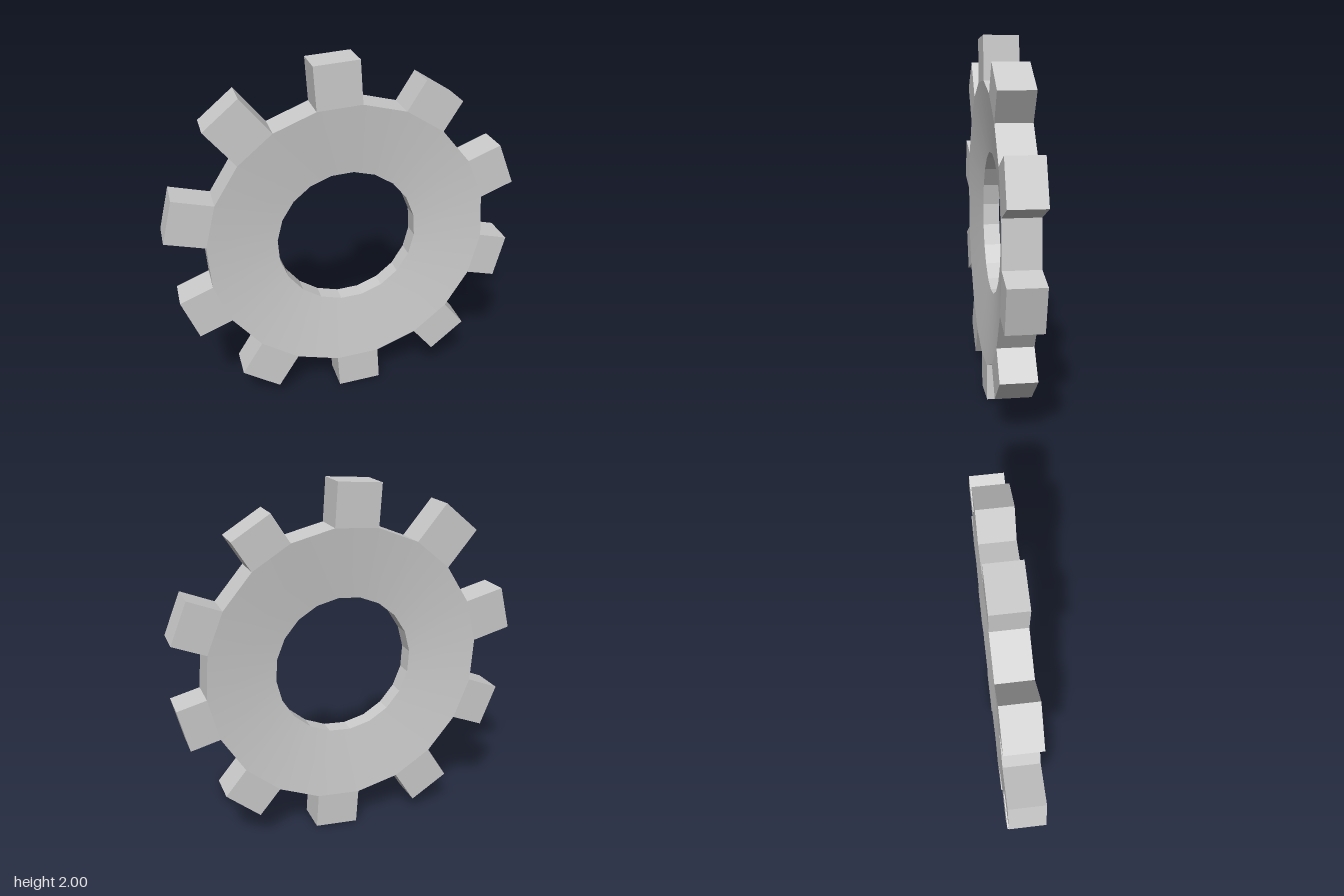
import * as THREE from 'three';
import { toCreasedNormals } from 'three/addons/utils/BufferGeometryUtils.js';

const SIDES = 20;
const HOLE_R = 0.395, RIM_R = 0.787;
const HOLE_HALF = 0.048, RIM_HALF = 0.096; // half thickness at the hole and at the rim
const FIRST_ANGLE = 94; // degrees, direction of the top tooth
const rad = THREE.MathUtils.degToRad;

// distance of each tooth tip from the hub, clockwise from the top
const TIPS = [1.014, 0.966, 0.973, 0.945, 0.962, 0.974, 0.996, 0.975, 1.003, 1.034];

export function createModel() {
  const material = new THREE.MeshStandardMaterial({ color: 0xcccccc });
  const gear = new THREE.Group();
  gear.name = 'gear';
  gear.position.set(0.025, 0.98, 0);

  // dished ring, thinner towards the hole
  const profile = [
    [HOLE_R, -HOLE_HALF], [RIM_R, -RIM_HALF], [RIM_R, RIM_HALF],
    [HOLE_R, HOLE_HALF], [HOLE_R, -HOLE_HALF],
  ].map(([r, z]) => new THREE.Vector2(r, z));
  const lathe = new THREE.LatheGeometry(profile, SIDES, rad(FIRST_ANGLE + 9 + 90));
  lathe.rotateX(Math.PI / 2);
  const ring = new THREE.Mesh(toCreasedNormals(lathe, rad(12)), material);
  ring.name = 'ring';
  gear.add(ring);

  // square teeth of uneven length on every second rim facet
  const apothem = RIM_R * Math.cos(Math.PI / SIDES);
  const width = 2 * RIM_R * Math.sin(Math.PI / SIDES);
  TIPS.forEach((tip, i) => {
    const geometry = new THREE.BoxGeometry(tip - apothem, width, 2 * RIM_HALF);
    geometry.translate((tip + apothem) / 2, 0, 0);
    const tooth = new THREE.Mesh(geometry, material);
    tooth.name = `tooth${i + 1}`;
    tooth.rotation.z = rad(FIRST_ANGLE - i * 36);
    gear.add(tooth);
  });

  const model = new THREE.Group();
  model.add(gear);
  return model;
}
